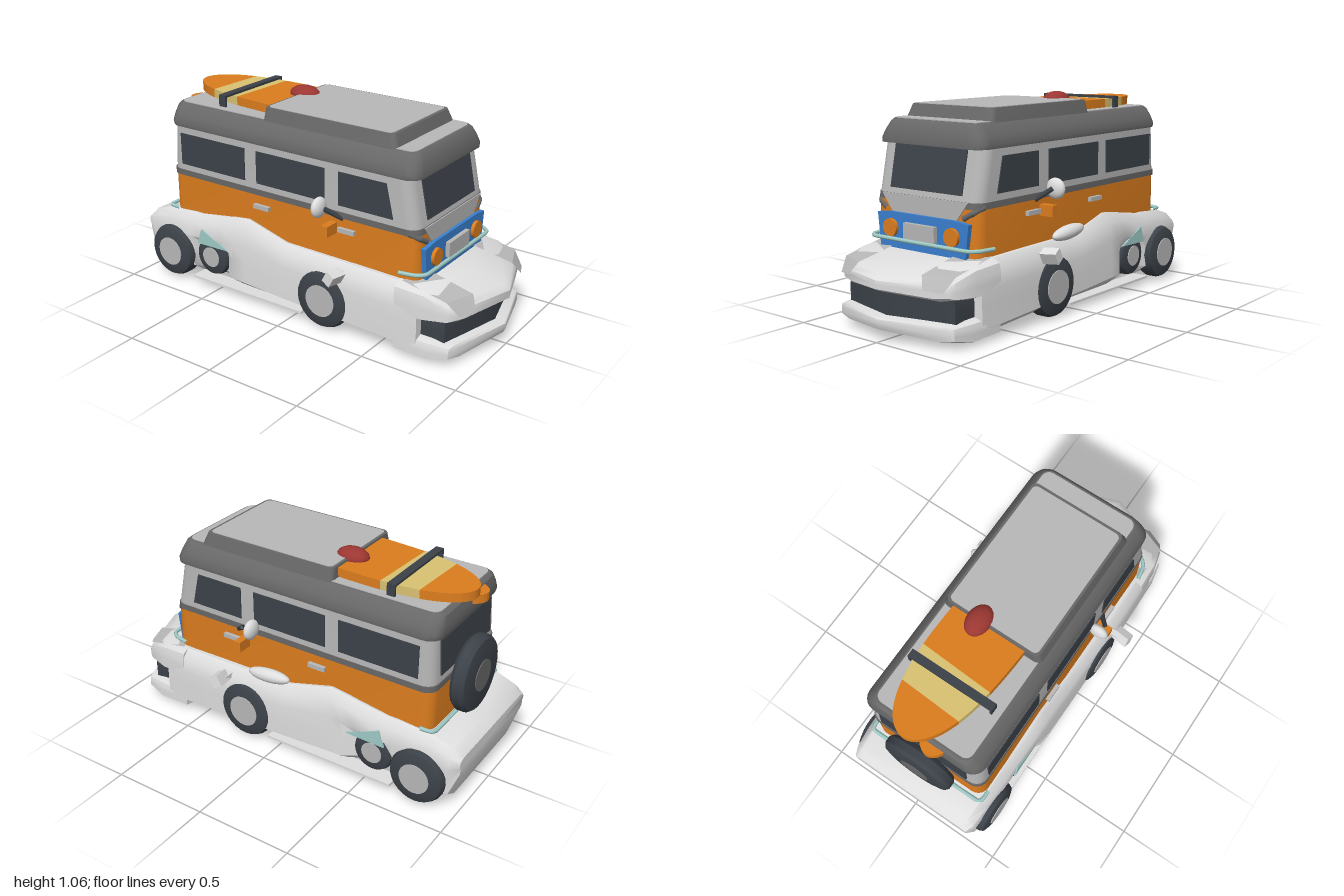
import * as THREE from 'three';
import { toCreasedNormals } from 'three/addons/utils/BufferGeometryUtils.js';

const mat = (name, color, side = THREE.FrontSide) => {
  const m = new THREE.MeshStandardMaterial({ color, side });
  m.name = name;
  return m;
};

export function createModel() {
  const white = mat('white paint', 0xdedede, THREE.DoubleSide), light = mat('light grey', 0xb8b8b8, THREE.DoubleSide);
  const grey = mat('dark grey trim', 0x686868), dark = mat('charcoal', 0x3c4249, THREE.DoubleSide);
  const orange = mat('orange paint', 0xdc7d1e), blue = mat('blue paint', 0x3a80d0);
  const teal = mat('pale teal', 0x9fcbc7), yellow = mat('pale yellow', 0xdac272), red = mat('dull red', 0x9c3732);
  const model = new THREE.Group();

  const add = (name, geo, m, x = 0, y = 0, z = 0) => {
    const mesh = new THREE.Mesh(geo, m);
    mesh.name = name;
    mesh.position.set(x, y, z);
    model.add(mesh);
    return mesh;
  };
  const box = (name, m, w, h, d, x, y, z) => add(name, new THREE.BoxGeometry(w, h, d), m, x, y, z);
  const blob = (name, m, rx, ry, rz, x, y, z) =>
    add(name, new THREE.SphereGeometry(1, 20, 14).scale(rx, ry, rz), m, x, y, z);
  const tube = (name, m, pts, r) => add(name, new THREE.TubeGeometry(
    new THREE.CatmullRomCurve3(pts.map(p => new THREE.Vector3(...p)), false, 'catmullrom', 0.1), 40, r, 8), m);
  const panel = (pts, t) => new THREE.ExtrudeGeometry(
    new THREE.Shape(pts.map(p => new THREE.Vector2(...p))), { depth: t, bevelEnabled: false });

  // Skin through closed rings with equal point counts, capped at both ends
  const skin = (name, rings, m, crease = 0.6) => {
    const n = rings[0].length, pos = rings.flat(2), idx = [];
    for (let i = 0; i < rings.length - 1; i++) for (let j = 0; j < n; j++) {
      const a = i * n + j, b = i * n + (j + 1) % n;
      idx.push(a, b, b + n, a, b + n, a + n);
    }
    [0, rings.length - 1].forEach((r, end) => {
      const p = rings[r][0], q = rings[r][n / 2], c = pos.length / 3;
      pos.push(...p.map((v, k) => (v + q[k]) / 2));
      for (let j = 0; j < n; j++) {
        const a = r * n + j, b = r * n + (j + 1) % n;
        idx.push(c, end ? a : b, end ? b : a);
      }
    });
    const g = new THREE.BufferGeometry();
    g.setAttribute('position', new THREE.Float32BufferAttribute(pos, 3));
    g.setIndex(idx);
    return add(name, toCreasedNormals(g, crease), m);
  };

  // Cross-section of the low car body; sweep pushes the middle forward
  const carRing = ([z, sweep, wl, wu, ys, yc, bs, bc]) => {
    const f = y => bs + y * (ys - bs);
    const half = [[0, bc], [wl * 0.8, bs], [wl, f(0.15)], [wl, f(0.45)], [wu, f(0.65)], [wu * 0.98, f(0.88)], [wu * 0.88, ys], [0, yc]];
    const all = [...half, ...half.slice(1, 7).reverse().map(([x, y]) => [-x, y])];
    return all.map(([x, y]) => [x, y, z + sweep * (1 - Math.abs(x) / wu)]);
  };
  const car = (name, m, rows) => skin(name, rows.map(carRing), m, 0.75);

  car('lowerCarBody', white, [
    [-1, 0, 0.34, 0.35, 0.31, 0.31, 0.22, 0.22], [-0.955, 0, 0.36, 0.37, 0.35, 0.35, 0.07, 0.07],
    [-0.85, 0, 0.37, 0.375, 0.385, 0.38, 0.06, 0.06], [-0.66, 0, 0.37, 0.38, 0.40, 0.37, 0.05, 0.05],
    [-0.62, 0, 0.31, 0.38, 0.40, 0.36, 0.05, 0.05], [-0.46, 0, 0.33, 0.385, 0.425, 0.36, 0.05, 0.05],
    [-0.38, 0, 0.385, 0.385, 0.44, 0.36, 0.05, 0.05], [-0.3, 0, 0.39, 0.385, 0.45, 0.36, 0.05, 0.05],
    [-0.05, 0, 0.39, 0.385, 0.38, 0.36, 0.045, 0.045], [0.35, 0, 0.395, 0.395, 0.375, 0.37, 0.035, 0.035],
    [0.6, 0, 0.39, 0.39, 0.37, 0.37, 0.02, 0.02], [0.72, 0, 0.38, 0.38, 0.355, 0.355, 0.015, 0.02]]);
  car('upperNose', white, [
    [0.6, 0, 0.388, 0.388, 0.372, 0.372, 0.2, 0.2], [0.75, 0.06, 0.38, 0.38, 0.36, 0.355, 0.2, 0.22],
    [0.86, 0.11, 0.35, 0.35, 0.31, 0.31, 0.215, 0.235], [0.885, 0.115, 0.33, 0.33, 0.28, 0.29, 0.23, 0.25]]);
  car('lowerNose', white, [
    [0.6, 0, 0.385, 0.385, 0.12, 0.12, 0.02, 0.02], [0.78, 0.06, 0.38, 0.38, 0.12, 0.125, 0.012, 0.03],
    [0.88, 0.1, 0.36, 0.36, 0.11, 0.115, 0.04, 0.06], [0.89, 0.1, 0.34, 0.34, 0.1, 0.11, 0.06, 0.08]]);
  car('mouthGrille', dark, [
    [0.6, 0, 0.335, 0.335, 0.24, 0.25, 0.09, 0.09], [0.845, 0.09, 0.335, 0.335, 0.24, 0.25, 0.09, 0.1]]);
  blob('underbodyBump', white, 0.03, 0.025, 0.07, 0.05, 0.03, 0.42);
  blob('sidePod', white, 0.035, 0.035, 0.125, 0.365, 0.405, 0.055).rotation.x = 0.08;

  // Wheels
  const wheel = (name, r, width, hub, x, y, z, ry) => {
    const g = new THREE.Group(), h = width / 2;
    const prof = [[0, -h], [r * 0.72, -h], [r * 0.93, -h * 0.8], [r, -h * 0.4], [r, h * 0.4], [r * 0.93, h * 0.8], [r * 0.72, h], [0, h]];
    const tyre = new THREE.Mesh(toCreasedNormals(new THREE.LatheGeometry(prof.map(p => new THREE.Vector2(...p)), 28), 0.6), dark);
    const cap = new THREE.Mesh(new THREE.CylinderGeometry(hub, hub, width + 0.008, 24), name === 'spareWheel' ? grey : light);
    tyre.name = 'tyre'; cap.name = 'hub';
    g.add(tyre, cap);
    g.name = name;
    g.position.set(x, y, z);
    g.rotation.set(ry ? 0 : Math.PI / 2, 0, ry ? Math.PI / 2 : 0);
    model.add(g);
  };
  wheel('spareWheel', 0.193, 0.09, 0.08, 0, 0.56, -0.875, false);

  // Van shell: rounded rectangles stacked upwards
  const vanRing = ([y, w, zf, zb, r]) => {
    const pts = [];
    [[1, 1], [1, -1], [-1, -1], [-1, 1]].forEach(([sx, sz], q) => {
      for (let k = 0; k <= 5; k++) {
        const a = (q + k / 5) * Math.PI / 2;
        pts.push([sx * (w - r) + r * Math.sin(a), y, (sz > 0 ? zf - r : zb + r) + r * Math.cos(a)]);
      }
    });
    return pts;
  };
  const van = (name, m, rows) => skin(name, rows.map(vanRing), m);
  van('vanLowerShell', orange, [[0.3, 0.325, 0.685, -0.825, 0.06], [0.595, 0.325, 0.68, -0.825, 0.06]]);
  van('waistStripe', grey, [[0.59, 0.329, 0.682, -0.83, 0.06], [0.62, 0.329, 0.678, -0.83, 0.06]]);
  van('vanUpperShell', light, [[0.615, 0.325, 0.677, -0.825, 0.06], [0.87, 0.323, 0.625, -0.81, 0.06]]);
  van('roof', grey, [[0.855, 0.327, 0.665, -0.83, 0.07], [0.875, 0.329, 0.665, -0.835, 0.07],
    [0.915, 0.313, 0.655, -0.832, 0.07], [0.955, 0.285, 0.64, -0.825, 0.06], [0.968, 0.27, 0.625, -0.81, 0.05]]);
  van('roofTop', light, [[0.964, 0.262, 0.615, -0.8, 0.04], [0.972, 0.262, 0.615, -0.8, 0.04]]);
  van('raisedRoof', grey, [[0.965, 0.275, 0.525, -0.25, 0.03], [1.03, 0.258, 0.5, -0.245, 0.03]]);
  van('raisedRoofTop', light, [[1.026, 0.246, 0.485, -0.232, 0.025], [1.033, 0.246, 0.485, -0.232, 0.025]]);

  // Windscreen, rear window and front face
  add('windscreen', panel([[-0.225, 0], [0.225, 0], [0.225, 0.215], [-0.225, 0.215]], 0.008), dark, 0, 0.645, 0.669)
    .rotation.x = -0.2;
  box('rearWindow', dark, 0.5, 0.18, 0.008, 0, 0.745, -0.821).rotation.x = 0.06;
  add('frontApron', panel([[-0.27, 0.62], [-0.2, 0.53], [0.2, 0.53], [0.27, 0.62]], 0.006), light, 0, 0, 0.681);
  add('frontPanel', panel([[-0.265, 0.33], [0.265, 0.33], [0.287, 0.525], [0.2, 0.535], [-0.2, 0.535], [-0.287, 0.525]], 0.04),
    blue, 0, 0, 0.663);
  box('numberPlate', light, 0.195, 0.075, 0.03, 0, 0.458, 0.71);
  box('lowerPlate', white, 0.195, 0.025, 0.04, 0, 0.338, 0.72);
  tube('frontBumper', teal, [[-0.35, 0.41, 0.6], [-0.335, 0.41, 0.68], [-0.29, 0.41, 0.72], [0.29, 0.41, 0.72],
    [0.335, 0.41, 0.68], [0.35, 0.41, 0.6]], 0.01);
  tube('rearBumper', teal, [[-0.335, 0.4, -0.78], [-0.32, 0.4, -0.85], [0.32, 0.4, -0.85], [0.335, 0.4, -0.78]], 0.01);

  // Side windows as [front bottom, front top, rear]
  const windows = [[0.55, 0.51, 0.245], [0.165, 0.165, -0.25], [-0.325, -0.325, -0.75]];

  // Everything that is mirrored left and right
  for (const s of [1, -1]) {
    wheel('frontWheel', 0.152, 0.11, 0.083, s * 0.353, 0.163, 0.193, true);
    wheel('rearWheel', 0.143, 0.11, 0.078, s * 0.353, 0.163, -0.8, true);
    wheel('innerWheel', 0.105, 0.09, 0.055, s * 0.32, 0.18, -0.545, true);
    box('sideSkirt', white, 0.09, 0.012, 0.72, s * 0.34, 0.045, -0.3);
    for (const [a, b, c] of windows) {
      const w = add('sideWindow', panel([[-a, 0.652], [-c, 0.652], [-c, 0.82], [-b, 0.82]], 0.008), dark, s * 0.325 - 0.004, 0, 0);
      w.rotation.y = Math.PI / 2;
    }
    const fin = add('sideFin', panel([[0.41, 0.255], [0.62, 0.25], [0.59, 0.335]], 0.009), teal, s * 0.38 - 0.0045, 0, 0);
    fin.rotation.y = Math.PI / 2;

    const lamp = add('headlamp', new THREE.CylinderGeometry(0.043, 0.043, 0.02, 28), orange, s * 0.193, 0.46, 0.71);
    lamp.rotation.x = Math.PI / 2;

    // Angular lamp cover on the nose
    const q = [[0.35, 0.376, 0.62], [0.19, 0.376, 0.68], [0.348, 0.328, 0.855], [0.2, 0.328, 0.912], [0.322, 0.262, 0.91], [0.235, 0.27, 0.945]];
    const g = new THREE.BufferGeometry();
    g.setAttribute('position', new THREE.Float32BufferAttribute(q.flatMap(([x, y, z]) => [s * x, y, z]), 3));
    g.setIndex([0, 1, 3, 0, 3, 2, 2, 3, 5, 2, 5, 4].map((_, i, arr) => arr[s > 0 ? i - (i % 3) + 2 - (i % 3) : i]));
    add('noseLampCover', toCreasedNormals(g, 0.2), light);

    // Van mirrors, arms, side signals and door handles
    tube('mirrorArm', dark, [[s * 0.32, 0.585, 0.27], [s * 0.34, 0.605, 0.24], [s * 0.375, 0.638, 0.2]], 0.012);
    tube('armBracket', grey, [[s * 0.24, 0.545, 0.68], [s * 0.29, 0.575, 0.672], [s * 0.32, 0.6, 0.63]], 0.014);
    blob('vanMirror', white, 0.053, 0.052, 0.028, s * 0.363, 0.632, 0.158);
    box('sideSignal', orange, 0.085, 0.055, 0.038, s * 0.362, 0.535, 0.218);
    for (const z of [0.3, -0.212]) {
      box('doorHandle', light, 0.02, 0.022, 0.095, s * 0.338, 0.534, z);
    }
    // Car mirrors
    box('carMirrorStalk', white, 0.06, 0.025, 0.03, s * 0.4, 0.335, 0.295);
    const cm = box('carMirror', white, 0.085, 0.06, 0.05, s * 0.448, 0.34, 0.305);
    cm.rotation.set(0.5, s * 0.15, 0);
  }

  // Surfboards: outline narrows towards the rear tip
  const board = (name, parts, len, halfW) => {
    const grp = new THREE.Group();
    grp.name = name;
    for (const [t0, t1, m] of parts) {
      const side = [];
      for (let k = 0; k <= 16; k++) {
        const t = t0 + (t1 - t0) * Math.sin(k / 16 * Math.PI / 2);
        side.push([halfW * Math.sqrt(Math.max(0, 1 - t ** 3)), t * len]);
      }
      const geo = panel([...side, ...side.slice().reverse().map(([x, y]) => [-x - 1e-4, y])], 0.045);
      const mesh = new THREE.Mesh(geo.rotateX(-Math.PI / 2), m);
      mesh.name = 'boardSection';
      grp.add(mesh);
    }
    model.add(grp);
    return grp;
  };
  const top = board('upperSurfboard', [[0, 0.42, orange], [0.42, 0.7, yellow], [0.7, 1, orange]], 0.68, 0.2);
  top.position.set(0.01, 0.975, -0.2);
  top.rotation.y = -0.05;
  const low = board('lowerSurfboard', [[0, 1, orange]], 0.6, 0.14);
  low.position.set(-0.03, 0.905, -0.28);
  low.rotation.y = 0.09;
  box('boardStrap', dark, 0.465, 0.012, 0.042, 0.007, 1.026, -0.545);
  for (const x of [-0.22, 0.234]) box('strapEnd', dark, 0.012, 0.06, 0.042, x, 0.998, -0.545);
  blob('roofBeacon', red, 0.062, 0.045, 0.085, 0.07, 1.022, -0.24);

  return model;
}
